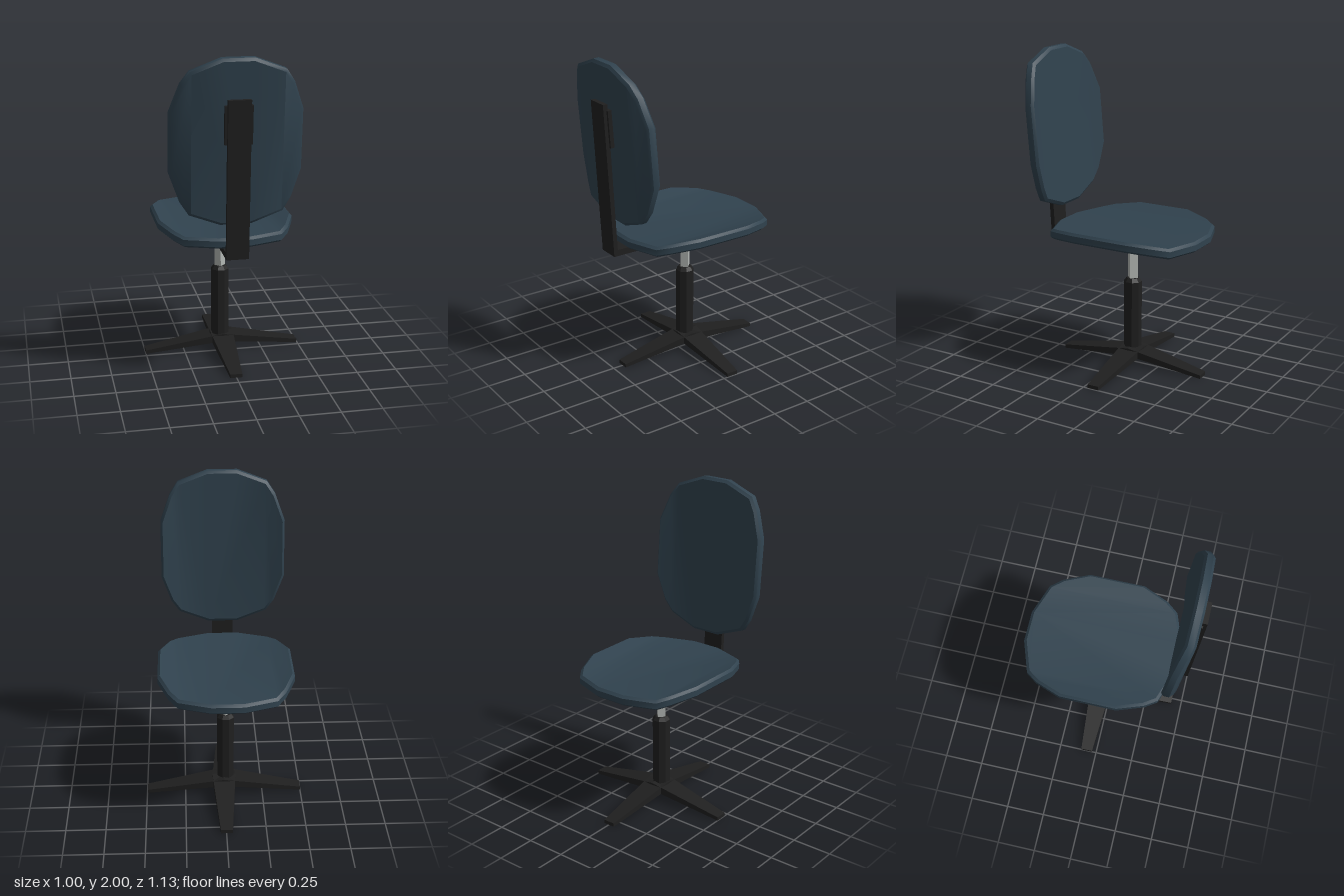
import * as THREE from 'three';
import { toCreasedNormals } from 'three/addons/utils/BufferGeometryUtils.js';

const fabric = new THREE.MeshStandardMaterial({ name: 'blue grey fabric', color: 0x30424e });
const black = new THREE.MeshStandardMaterial({ name: 'black plastic', color: 0x1f1f1f });
const steel = new THREE.MeshStandardMaterial({ name: 'steel', color: 0xb2b6b3 });

const CX = -0.012; // column and bracket axis
const CZ = -0.056;

function part(name, geometry, material, x = 0, y = 0, z = 0) {
  const mesh = new THREE.Mesh(geometry, material);
  mesh.name = name;
  mesh.position.set(x, y, z);
  return mesh;
}

// Padded cushion lying flat, with both side flanks bent upwards
function cushionGeometry(sx, sz) {
  const right = [[0.1, -0.49], [0.3, -0.42], [0.355, -0.345], [0.42, -0.18],
    [0.42, 0.18], [0.355, 0.345], [0.3, 0.42], [0.1, 0.49]];
  const outline = [...right, ...right.map(([x, z]) => [-x, z]).reverse()];
  const n = outline.length;
  const layers = [[0, 0.965], [0.014, 1], [0.05, 1], [0.065, 0.965]]; // height, inset
  const pos = [];
  const index = [];
  for (const [y, s] of layers) {
    for (const [x, z] of outline) {
      const lift = Math.max(0, Math.abs(x) - 0.3) * 0.3;
      pos.push(x * s * sx, y + lift, z * s * sz);
    }
  }
  for (let l = 0; l < layers.length - 1; l++) {
    for (let i = 0; i < n; i++) {
      const j = (i + 1) % n, a = l * n, b = a + n;
      index.push(a + j, a + i, b + i, a + j, b + i, b + j);
    }
  }
  // Caps: flat middle and two bent flanks
  const top = (layers.length - 1) * n;
  for (const face of [[0, 1, 6, 7, 8, 9, 14, 15], [1, 2, 3, 4, 5, 6], [9, 10, 11, 12, 13, 14]]) {
    for (let k = 1; k < face.length - 1; k++) {
      const [a, b, c] = [face[0], face[k], face[k + 1]];
      index.push(a, b, c, top + a, top + c, top + b);
    }
  }
  const g = new THREE.BufferGeometry();
  g.setAttribute('position', new THREE.Float32BufferAttribute(pos, 3));
  g.setIndex(index);
  return toCreasedNormals(g, 0.65);
}

// Base leg along +x, sloping down and narrowing to the tip
function legGeometry() {
  const g = new THREE.BoxGeometry(1, 1, 1);
  const p = g.attributes.position;
  for (let i = 0; i < p.count; i++) {
    const tip = p.getX(i) > 0, up = p.getY(i) > 0;
    p.setXYZ(i, tip ? 0.498 : 0,
      tip ? (up ? 0.028 : 0.005) : (up ? 0.118 : 0.068),
      p.getZ(i) * (tip ? 0.075 : 0.15));
  }
  const flat = g.toNonIndexed();
  flat.computeVertexNormals();
  return flat;
}

export function createModel() {
  const chair = new THREE.Group();
  chair.name = 'officeChair';

  // Four-legged base
  const base = new THREE.Group();
  base.name = 'base';
  base.position.set(-0.002, 0, -0.066);
  for (let i = 0; i < 4; i++) {
    const leg = part('leg' + (i + 1), legGeometry(), black);
    leg.rotation.y = i * Math.PI / 2;
    base.add(leg);
  }
  chair.add(base);

  // Column sleeve with tapered ends
  const profile = [[0, 0.03], [0.04, 0.03], [0.057, 0.1], [0.057, 0.55], [0.04, 0.573], [0, 0.573]]
    .map(([r, y]) => new THREE.Vector2(r, y));
  const sleeve = new THREE.LatheGeometry(profile, 8, Math.PI / 8).toNonIndexed();
  sleeve.computeVertexNormals();
  chair.add(part('columnSleeve', sleeve, black, CX, 0, CZ));

  // Steel lift rod
  const rod = new THREE.CylinderGeometry(0.035, 0.035, 0.27, 4).toNonIndexed();
  rod.computeVertexNormals();
  chair.add(part('liftRod', rod, steel, CX, 0.685, CZ));

  // L-shaped bracket under the seat and behind the back
  const side = new THREE.Shape([[-0.43, 0.8], [0.51, 0.8], [0.565, 1.765], [0.535, 1.765],
    [0.485, 0.84], [-0.475, 0.84]].map(([z, y]) => new THREE.Vector2(z, y)));
  const bracket = new THREE.ExtrudeGeometry(side, { depth: 0.136, bevelEnabled: false });
  bracket.translate(0, 0, -0.068).rotateY(-Math.PI / 2);
  chair.add(part('bracket', bracket, black, CX));

  // Mount between bracket and backrest
  const mount = part('backMount', new THREE.BoxGeometry(0.165, 0.23, 0.025), black, CX, 1.615, 0.522);
  mount.rotation.x = 0.07;
  chair.add(mount);

  // Cushions
  chair.add(part('seat', cushionGeometry(1, 1), fabric, -0.01, 0.843, -0.058));
  const back = part('backrest', cushionGeometry(0.935, 1.022), fabric, CX, 1.498, 0.498);
  back.rotation.x = -Math.PI / 2 + 0.082;
  chair.add(back);

  return chair;
}
